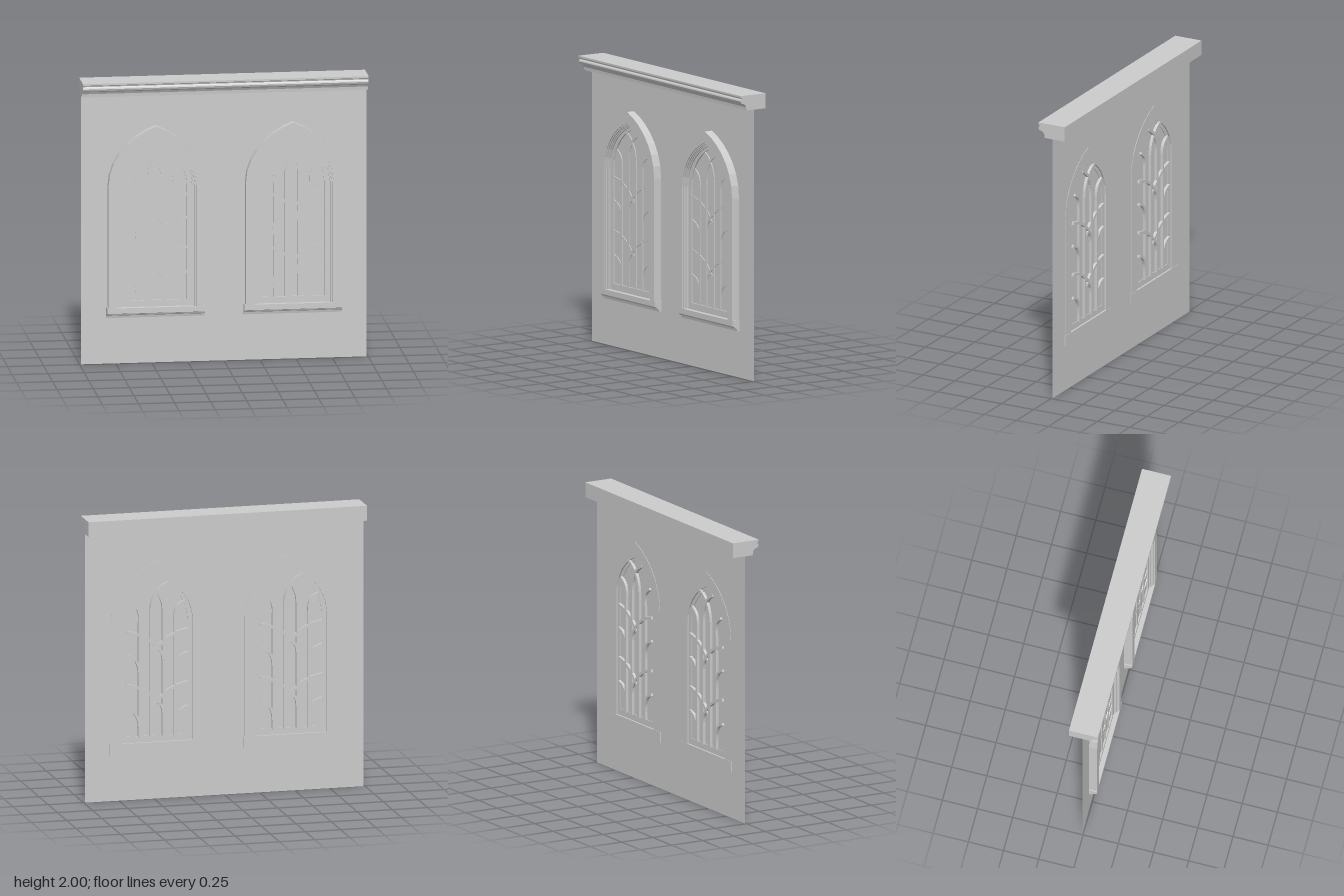
import * as THREE from 'three';

const material = new THREE.MeshStandardMaterial({ color: 0xcccccc, side: THREE.DoubleSide });
const V = (x, y) => new THREE.Vector2(x, y);

function part(name, geometry, parent) {
  const mesh = new THREE.Mesh(geometry, material);
  mesh.name = name;
  parent.add(mesh);
  return mesh;
}

// Flat outline pushed from z0 to z1
function slab(shape, z0, z1) {
  return new THREE.ExtrudeGeometry(shape, { depth: z1 - z0, bevelEnabled: false }).translate(0, 0, z0);
}

// Side profile of [z, y] points run along x, centred
function moulding(profile, length) {
  const shape = new THREE.Shape(profile.map(([z, y]) => V(z, y)));
  return new THREE.ExtrudeGeometry(shape, { depth: length, bevelEnabled: false })
    .rotateY(-Math.PI / 2).translate(length / 2, 0, 0);
}

// Pointed arch outline, from the right foot over the apex to the left foot
function arch(w, apex, foot) {
  const spring = 1.25, rise = apex - spring;
  const half = new THREE.CubicBezierCurve(
    V(w, spring), V(w, spring + rise * 0.5), V(w * 0.5, spring + rise * 0.86), V(0, apex)).getPoints(7);
  const right = [V(w, foot), ...half];
  const left = right.slice(0, -1).reverse().map(p => V(-p.x, p.y));
  return [...right, ...left];
}

// Arched band that is open at the foot
function archBand(outer, inner, foot) {
  return new THREE.Shape([...arch(...outer, foot), ...arch(...inner, foot).reverse()]);
}

// Constant-width bar following a curve through points, optionally mirrored
function bar(points, side, width, z0, z1) {
  const curve = new THREE.SplineCurve(points.map(([x, y]) => V(x * side, y)));
  const a = [], b = [];
  const n = points.length === 2 ? 1 : 12;
  for (let i = 0; i <= n; i++) {
    const p = curve.getPoint(i / n), t = curve.getTangent(i / n);
    a.push(V(p.x - t.y * width / 2, p.y + t.x * width / 2));
    b.unshift(V(p.x + t.y * width / 2, p.y - t.x * width / 2));
  }
  return slab(new THREE.Shape([...a, ...b]), z0, z1);
}

function createWindow() {
  const g = new THREE.Group();
  g.name = 'archedWindow';

  // Surround with stepped inner mouldings
  part('surround', slab(archBand([0.331, 1.675], [0.278, 1.597], 0.395), -0.011, 0.05), g);
  const steps = [[0.278, 1.597, 0.042], [0.269, 1.586, 0.033], [0.26, 1.577, 0.026], [0.252, 1.567]];
  for (let i = 0; i < 3; i++) {
    const [w, a, z] = steps[i], [w2, a2] = steps[i + 1];
    part('surroundStep', slab(archBand([w, a], [w2, a2], 0.395), -0.011, z), g);
  }

  // Sash ring with its bottom rail
  const sash = new THREE.Shape(arch(0.253, 1.568, 0.4));
  sash.holes.push(new THREE.Path(arch(0.217, 1.545, 0.445)));
  part('sash', slab(sash, 0, 0.016), g);

  // Glass pane
  part('glass', new THREE.ShapeGeometry(new THREE.Shape(arch(0.22, 1.547, 0.44))).translate(0, 0, 0.005), g);

  // Sill
  part('sill', moulding([[-0.013, 0.4], [-0.013, 0.325], [0.012, 0.325], [0.016, 0.342],
    [0.032, 0.348], [0.037, 0.358], [0.05, 0.362], [0.05, 0.4]], 0.678), g);

  // Tracery, mirrored about the window's centre
  const tracery = new THREE.Group();
  tracery.name = 'tracery';
  g.add(tracery);
  for (const s of [1, -1]) {
    const add = (name, pts, width = 0.018, z1 = 0.012) => part(name, bar(pts, s, width, -0.015, z1), tracery);
    add('outerMullion', [[0.127, 0.44], [0.127, 1.25]]);
    add('outerMullionHead', [[0.127, 1.24], [0.124, 1.3], [0.145, 1.35], [0.195, 1.385]].map(
      ([x, y], i) => (i === 1 ? [0.127, y] : [x, y])));
    add('innerMullion', [[0.045, 0.44], [0.045, 1.33]], 0.022);
    // Head bars cross at the top of the centre light
    add('innerMullionHead', [[0.045, 1.32], [0.035, 1.39], [0, 1.46], [-0.05, 1.505], [-0.09, 1.525]], 0.02, 0.0115);
    // Side arches springing from the outer mullions
    for (const y of [0.5, 0.88]) {
      add('sideArch', [[0.127, y], [0.135, y + 0.06], [0.165, y + 0.115], [0.222, y + 0.14]], 0.018, 0.011);
    }
    // Branches that cross at the centre and sweep to the far jamb
    for (const y of [0.69, 1.065]) {
      add('branch', [[0.045, y - 0.1], [0.035, y - 0.045], [0, y], [-0.045, y + 0.045],
        [-0.127, y + 0.095], [-0.222, y + 0.12]], 0.02, 0.0105);
    }
  }
  return g;
}

export function createModel() {
  const model = new THREE.Group();
  model.name = 'wallWithWindows';
  const centres = [-0.476, 0.476];

  // Thin wall with two arched openings
  const wall = new THREE.Shape([V(-0.99, 0), V(0.99, 0), V(0.99, 1.9), V(-0.99, 1.9)]);
  for (const x of centres) {
    wall.holes.push(new THREE.Path(arch(0.262, 1.58, 0.4).map(p => V(p.x + x, p.y))));
  }
  part('wall', new THREE.ShapeGeometry(wall).translate(0, 0, -0.008), model);

  // Cornice
  part('cornice', moulding([[-0.103, 2], [-0.103, 1.895], [0.055, 1.895], [0.057, 1.918], [0.066, 1.934],
    [0.08, 1.942], [0.096, 1.946], [0.102, 1.96], [0.1, 1.968], [0.092, 1.976], [0.095, 1.984],
    [0.103, 1.988], [0.103, 2]], 1.98), model);

  // Windows
  for (const x of centres) {
    const win = createWindow();
    win.position.x = x;
    model.add(win);
  }
  return model;
}
